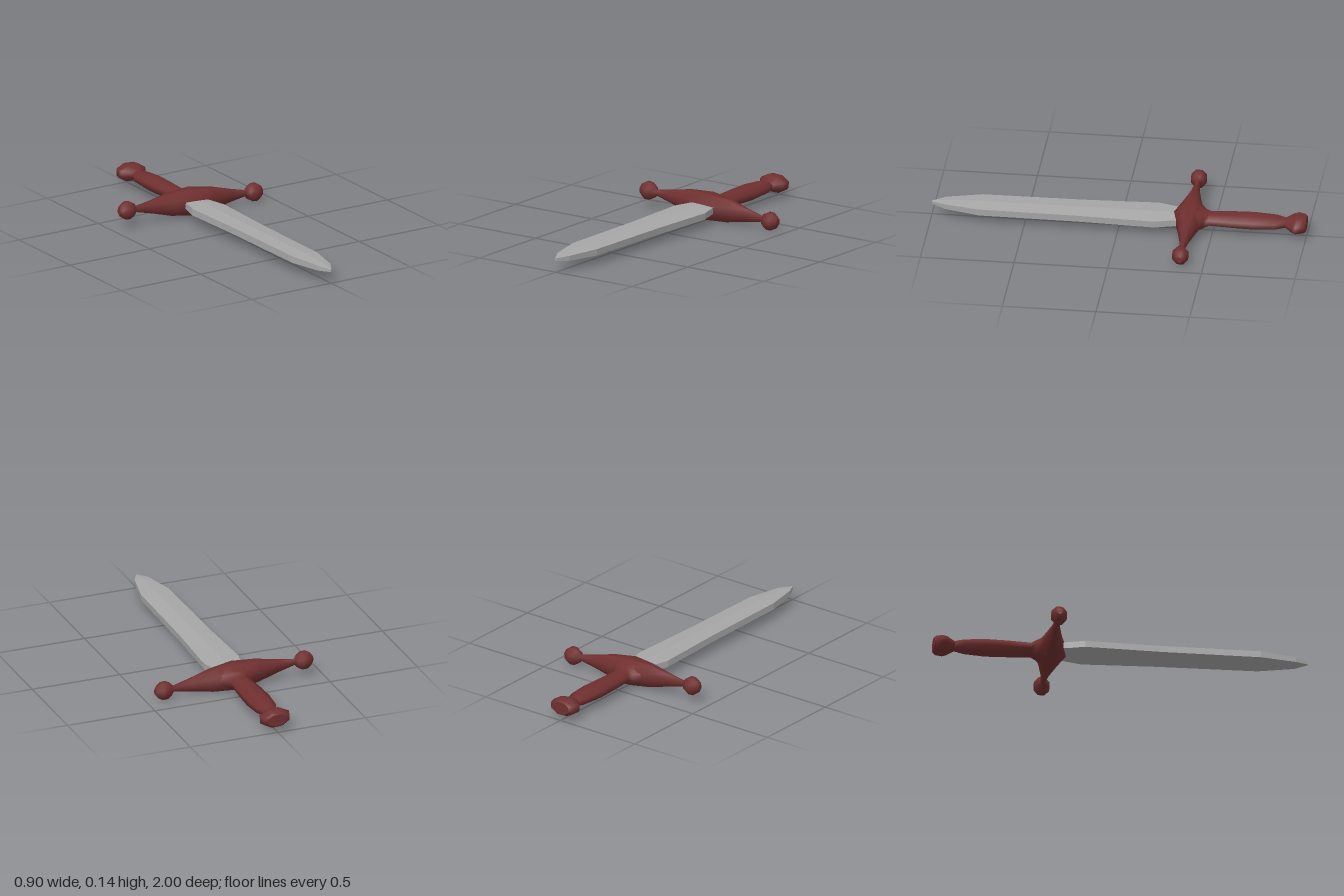
import * as THREE from 'three';

// Skin rings (arrays of [x, y] points) placed along z, closing both ends
function loft(rings) {
  const pos = [], index = [], n = rings[0].points.length;
  for (const r of rings) for (const [x, y] of r.points) pos.push(x, y, r.z);
  for (let i = 0; i < rings.length - 1; i++) {
    for (let j = 0; j < n; j++) {
      const a = i * n + j, b = i * n + (j + 1) % n;
      index.push(a, b, a + n, b, b + n, a + n);
    }
  }
  // End caps use their own vertices so the rims stay crisp
  for (const last of [false, true]) {
    const r = rings[last ? rings.length - 1 : 0], base = pos.length / 3;
    for (const [x, y] of r.points) pos.push(x, y, r.z);
    for (let j = 1; j < n - 1; j++) {
      if (last) index.push(base, base + j, base + j + 1);
      else index.push(base, base + j + 1, base + j);
    }
  }
  const g = new THREE.BufferGeometry();
  g.setAttribute('position', new THREE.Float32BufferAttribute(pos, 3));
  g.setIndex(index);
  g.computeVertexNormals();
  return g;
}

// Eight-sided ring with flat sides at half-extents rx and ry
function octagon([z, rx, ry]) {
  const points = [], k = 1 / Math.cos(Math.PI / 8);
  for (let j = 0; j < 8; j++) {
    const a = (j + 0.5) * Math.PI / 4;
    points.push([rx * k * Math.cos(a), ry * k * Math.sin(a)]);
  }
  return { z, points };
}

// Ridged blade section: half width w, edge half thickness e, ridge half thickness t
function bladeRing([z, w, e, t]) {
  return { z, points: [[w, -e], [w, e], [0, t], [-w, e], [-w, -e], [0, -t]] };
}

export function createModel() {
  const steel = new THREE.MeshStandardMaterial({ color: 0xa6a6a6 });
  steel.name = 'steel';
  const red = new THREE.MeshStandardMaterial({ color: 0x702f2f });
  red.name = 'darkRed';

  const sword = new THREE.Group();
  sword.name = 'sword';
  const add = (name, geometry, material) => {
    const m = new THREE.Mesh(geometry, material);
    m.name = name;
    sword.add(m);
    return m;
  };

  // Blade with a central ridge and blunt edges
  const blade = loft([
    [-0.34, 0.065, 0.016, 0.025], [-0.3, 0.073, 0.018, 0.026], [-0.2, 0.1, 0.018, 0.026],
    [0.2, 0.085, 0.018, 0.026], [0.74, 0.08, 0.018, 0.025],
    [0.93, 0.04, 0.014, 0.018], [1.0, 0.004, 0.007, 0.009],
  ].map(bladeRing)).toNonIndexed();
  blade.computeVertexNormals();
  add('blade', blade, steel);

  // Crossguard with a knob at each end: distance from middle, depth, height
  const arm = [
    [0.13, 0.047, 0.06], [0.25, 0.023, 0.034], [0.345, 0.011, 0.016],
    [0.362, 0.03, 0.034], [0.385, 0.041, 0.046], [0.415, 0.041, 0.046],
    [0.438, 0.028, 0.032], [0.45, 0.014, 0.016],
  ];
  const profile = [
    ...arm.map(([d, rx, ry]) => [-d, rx, ry]).reverse(),
    [0, 0.083, 0.07],
    ...arm,
  ];
  const guard = loft(profile.map(octagon));
  guard.rotateY(Math.PI / 2);
  guard.translate(0, 0, -0.375);
  add('crossguard', guard, red);

  // Grip flaring into the guard, and the pommel behind it
  const grip = [
    [-0.895, 0.033, 0.022], [-0.835, 0.056, 0.032], [-0.72, 0.064, 0.039],
    [-0.6, 0.06, 0.037], [-0.48, 0.052, 0.033], [-0.455, 0.066, 0.045], [-0.41, 0.125, 0.058],
  ];
  add('grip', loft(grip.map(octagon)), red);
  const pommel = [
    [-1.0, 0.055, 0.033], [-0.985, 0.073, 0.043], [-0.95, 0.083, 0.046],
    [-0.93, 0.075, 0.041], [-0.885, 0.033, 0.022],
  ];
  add('pommel', loft(pommel.map(octagon)), red);

  // The sword lies with a slight roll
  sword.rotation.z = -0.054;
  sword.position.y = 0.073;
  const model = new THREE.Group();
  model.name = 'model';
  model.add(sword);
  return model;
}
